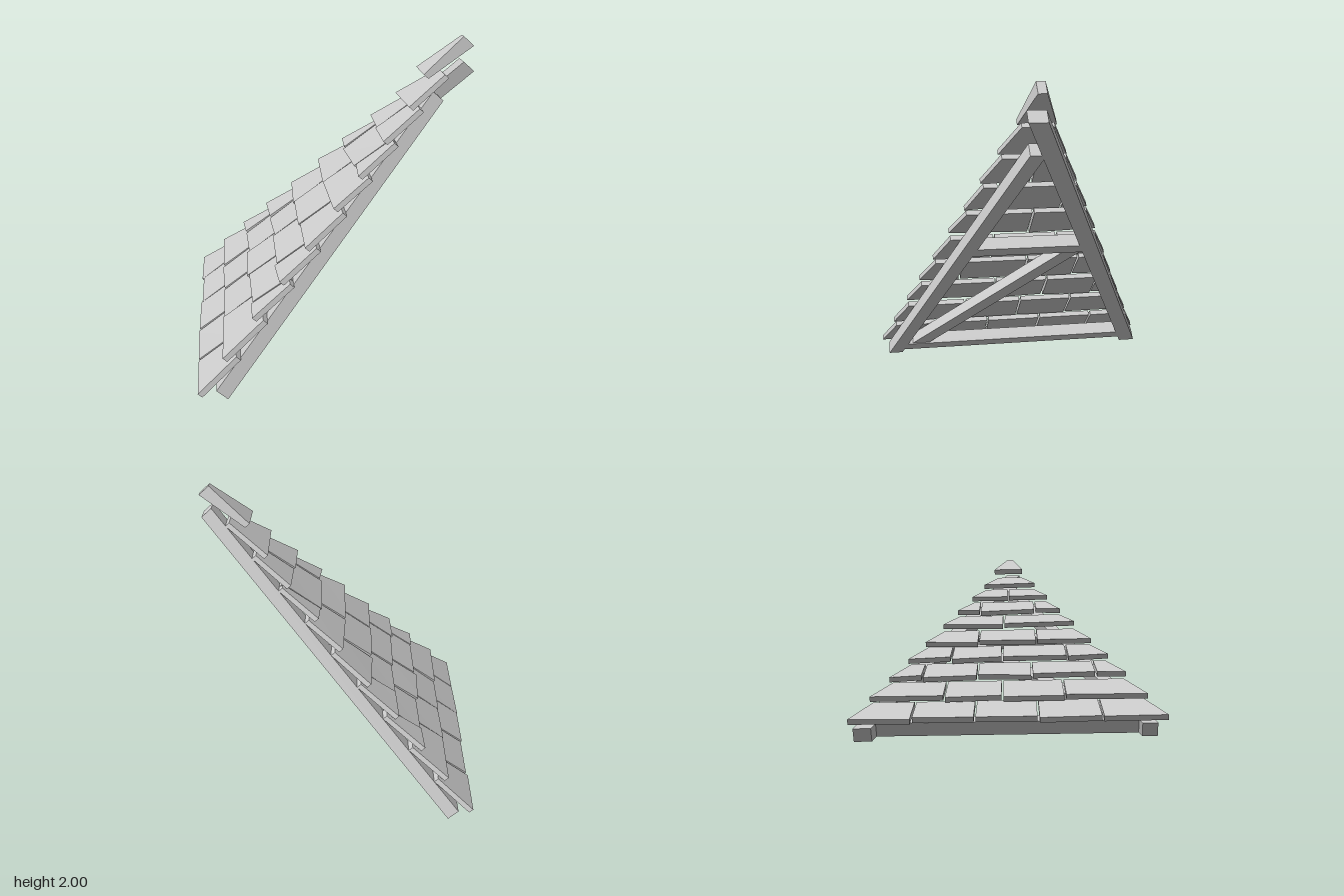
import * as THREE from 'three';

export function createModel() {
  const model = new THREE.Group();
  model.name = 'roofCorner';
  const grey = new THREE.MeshStandardMaterial({ color: 0xcccccc });
  grey.name = 'grey';

  // Roof plane: local x runs along the eave, y up the slope, z outward
  const roof = new THREE.Group();
  roof.name = 'roofSlope';
  const along = new THREE.Vector3(-0.482, 0, 0.876).normalize();
  const up = new THREE.Vector3(0.575, 0.755, 0.316);
  up.addScaledVector(along, -up.dot(along)).normalize();
  const out = new THREE.Vector3().crossVectors(along, up);
  roof.quaternion.setFromRotationMatrix(new THREE.Matrix4().makeBasis(along, up, out));
  roof.position.set(0.02, 0.06, -0.74);
  model.add(roof);

  let seed = 11;
  const jitter = (a) => {
    seed = (seed * 16807) % 2147483647;
    return (seed / 2147483647 * 2 - 1) * a;
  };
  const mix = THREE.MathUtils.lerp;

  // Six-sided block; each end is { y, x: [left, right], z: [inner, outer] }
  function slab(name, parent, low, high, skew = 0) {
    const g = new THREE.BoxGeometry(1, 1, 1);
    const p = g.attributes.position;
    for (let i = 0; i < p.count; i++) {
      const e = p.getY(i) < 0 ? low : high;
      const sx = p.getX(i);
      p.setXYZ(i, mix(e.x[0], e.x[1], sx + 0.5),
        e.y + (e === low ? sx * skew : 0),
        mix(e.z[0], e.z[1], p.getZ(i) + 0.5));
    }
    g.computeVertexNormals();
    const mesh = new THREE.Mesh(g, grey);
    mesh.name = name;
    parent.add(mesh);
  }

  // Timber frame: ends are [centre x, y], with level end cuts
  function beam(name, a, b, width, depth) {
    const end = ([x, y]) => ({ y, x: [x - width / 2, x + width / 2], z: [-depth / 2, depth / 2] });
    slab(name, roof, end(a), end(b));
  }
  beam('backRafter', [0.0, -0.035], [0.906, 2.337], 0.108, 0.09);
  beam('frontRafter', [1.69, -0.02], [0.88, 2.08], 0.09, 0.09);
  beam('brace', [1.53, 0.07], [0.56, 1.16], 0.115, 0.075);

  // Beams parallel to the eave
  const z = [-0.045, 0.045];
  slab('eaveBeam', roof, { y: 0.02, x: [0.03, 1.66], z }, { y: 0.09, x: [0.05, 1.63], z });
  slab('collarBeam', roof, { y: 1.15, x: [0.45, 1.24], z }, { y: 1.22, x: [0.48, 1.21], z });

  // Overlapping tile rows, trimmed to the two sloping edges
  const tiles = new THREE.Group();
  tiles.name = 'tiles';
  roof.add(tiles);
  const pitch = 0.25, width = 0.37, gap = 0.006;
  const leftEdge = (y) => -0.07 + 0.955 * (y + 0.08) / 2.53;
  const rightEdge = (y) => 1.78 - 0.895 * (y + 0.08) / 2.53;
  for (let row = 0; row < 9; row++) {
    const y0 = -0.08 + row * pitch, y1 = y0 + 0.285;
    const l = leftEdge(y0), r = rightEdge(y0);
    const cuts = [];
    for (let x = -0.07 + (row % 2 ? 0.5 : 1) * width; x < r; x += width) {
      const c = x + (row ? jitter(0.03) : 0);
      if (c > l + 0.13 && c < r - 0.13) cuts.push(c);
    }
    const edges = [null, ...cuts, null];
    for (let i = 0; i < edges.length - 1; i++) {
      const side = (y) => [
        edges[i] === null ? leftEdge(y) : edges[i] + gap,
        edges[i + 1] === null ? rightEdge(y) : edges[i + 1] - gap,
      ];
      const top = side(y1), lift = jitter(0.006);
      const yl = y0 + jitter(0.014);
      if (top[1] < top[0] + 0.02) {
        const m = THREE.MathUtils.clamp((top[0] + top[1]) / 2, leftEdge(y1), rightEdge(y1));
        top[0] = m - 0.01;
        top[1] = m + 0.01;
      }
      slab('tile', tiles,
        { y: yl, x: side(yl), z: [0.105 + lift, 0.14 + lift] },
        { y: y1, x: top, z: [0.046, 0.081] }, jitter(0.025));
    }
  }

  // Cap tile at the peak
  slab('capTile', tiles,
    { y: 2.12, x: [0.76, 0.98], z: [0.145, 0.185] },
    { y: 2.45, x: [0.86, 0.91], z: [0.05, 0.14] });

  return model;
}
